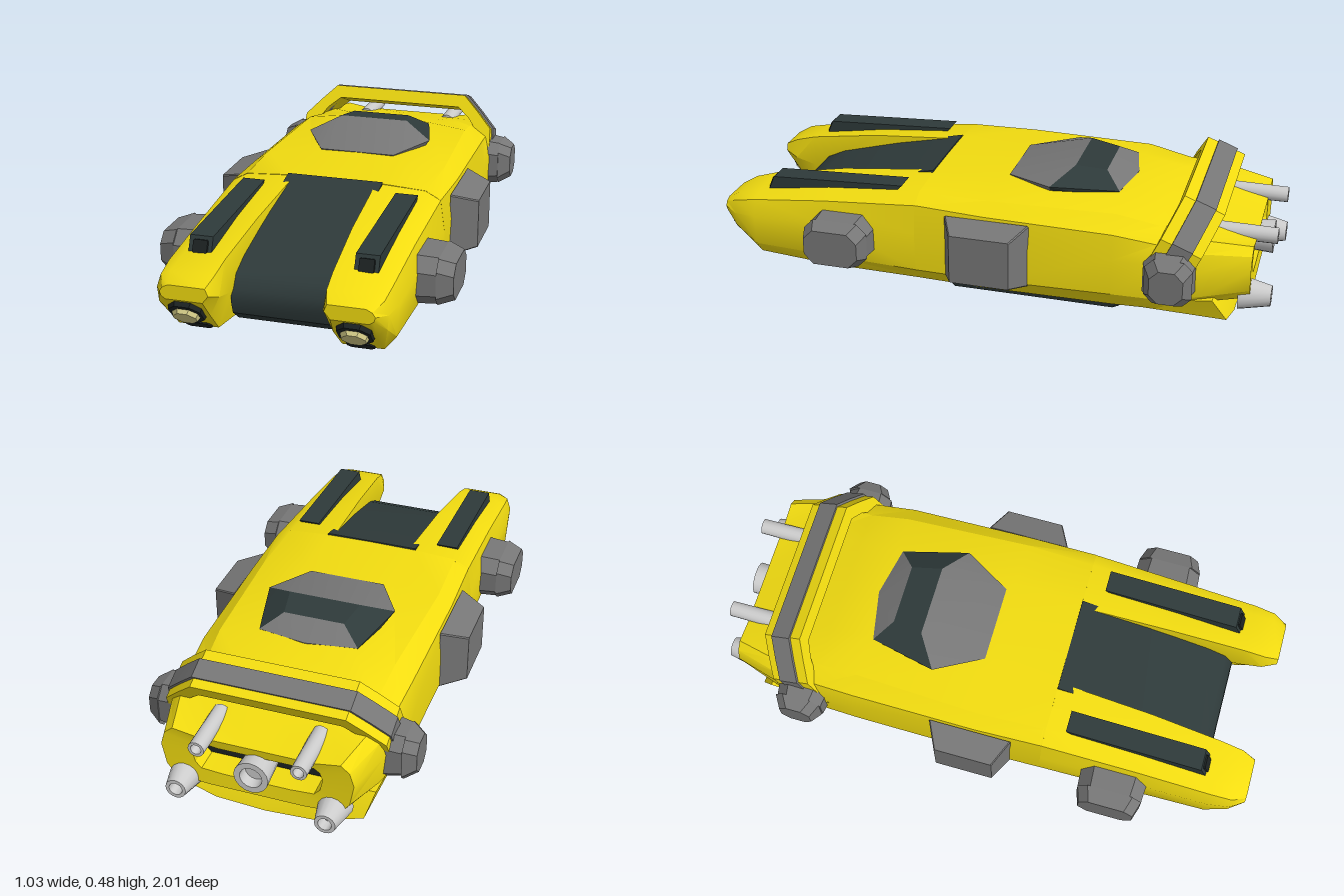
import * as THREE from 'three';
import { toCreasedNormals } from 'three/addons/utils/BufferGeometryUtils.js';
import { ConvexGeometry } from 'three/addons/geometries/ConvexGeometry.js';

const paint = (color) => new THREE.MeshStandardMaterial({ color });
const YELLOW = paint(0xf2dc10), DARK = paint(0x2e3a3a), BLACK = paint(0x1c2222);
const STEEL = paint(0x777777), LIGHT = paint(0xcccccc), LAMP = paint(0xd4cc88);

// Strips extra attributes and turns every face of a closed solid outward.
function outward(source) {
  const g = source.index ? source.toNonIndexed() : source.clone();
  for (const k of Object.keys(g.attributes)) if (k !== 'position') g.deleteAttribute(k);
  const p = g.attributes.position, a = new THREE.Vector3(), b = a.clone(), c = a.clone();
  let volume = 0;
  for (let i = 0; i < p.count; i += 3) {
    a.fromBufferAttribute(p, i);
    b.fromBufferAttribute(p, i + 1);
    c.fromBufferAttribute(p, i + 2);
    volume += a.dot(b.cross(c));
  }
  if (volume < 0) for (let i = 0; i < p.count; i += 3) {
    b.fromBufferAttribute(p, i + 1);
    c.fromBufferAttribute(p, i + 2);
    p.setXYZ(i + 1, c.x, c.y, c.z);
    p.setXYZ(i + 2, b.x, b.y, b.z);
  }
  return g;
}

// Skin through rings of [x, y, z] points, closed at both ends.
function loft(rings) {
  const n = rings[0].length, pos = rings.flat(2), idx = [];
  for (let r = 0; r < rings.length - 1; r++) for (let i = 0; i < n; i++) {
    const a = r * n + i, b = r * n + (i + 1) % n;
    idx.push(a, b, a + n, b, b + n, a + n);
  }
  [0, rings.length - 1].forEach((r, end) => {
    const centre = pos.length / 3;
    for (let k = 0; k < 3; k++) pos.push(rings[r].reduce((s, q) => s + q[k], 0) / n);
    for (let i = 0; i < n; i++) {
      const a = r * n + i, b = r * n + (i + 1) % n;
      idx.push(...(end ? [centre, a, b] : [centre, b, a]));
    }
  });
  const g = new THREE.BufferGeometry();
  g.setAttribute('position', new THREE.Float32BufferAttribute(pos, 3));
  g.setIndex(idx);
  return g;
}

// Full ring from a half outline running top centre to bottom centre.
function ring(z, half) {
  const right = half.map(([x, y, pz]) => [x, y, pz ?? z]);
  return [...right, ...right.slice(1, -1).reverse().map(([x, y, pz]) => [-x, y, pz])];
}

// Chamfered block growing along +z from w0 x h0 to w1 x h1.
function block(w0, h0, w1, h1, depth, cut) {
  const oct = (w, h, z) => [[1, -1], [1, 1], [-1, 1], [-1, -1]].flatMap(([sx, sy], i) => {
    const p = [sx * (w / 2 - cut), sy * h / 2, z], q = [sx * w / 2, sy * (h / 2 - cut), z];
    return i % 2 ? [q, p] : [p, q];
  });
  return loft([oct(w0, h0, 0), oct(w1, h1, depth)]);
}

// Solid whose side outline is given as [z, y] points.
function sideExtrude(points, x0, x1) {
  const shape = new THREE.Shape(points.map(([z, y]) => new THREE.Vector2(-z, y)));
  return new THREE.ExtrudeGeometry(shape, { depth: x1 - x0, bevelEnabled: false })
    .rotateY(Math.PI / 2).translate(x0, 0, 0);
}

// Hollow-ended exhaust pipe pointing to -z.
function pipe(r0, r1, len, x, y, z) {
  const pts = [[0, 0], [r0, 0], [r1, len], [r1 * 0.65, len], [r1 * 0.6, len - 0.04], [0, len - 0.04]];
  return new THREE.LatheGeometry(pts.map(([a, b]) => new THREE.Vector2(a, b)), 16)
    .rotateX(-Math.PI / 2).translate(x, y, z);
}

// Raked roll-bar arch; t0..t1 is the covered part of its depth.
function arch(grow, t0, t1) {
  const outer = [[0.4, 0.22], [0.39, 0.36], [0.33, 0.42], [0.27, 0.475]];
  const inner = [[0.25, 0.43], [0.3, 0.39], [0.345, 0.33], [0.35, 0.22]];
  const half = [...outer.map(([x, y]) => [x + grow, y + grow]), ...inner];
  const mirrorX = (list) => list.map(([x, y]) => [-x, y]).reverse();
  const outline = [...half.slice(0, 4), ...mirrorX(half.slice(0, 4)), ...mirrorX(inner), ...inner];
  const g = new THREE.ExtrudeGeometry(new THREE.Shape(outline.map((p) => new THREE.Vector2(...p))),
    { depth: 1, bevelEnabled: false });
  const p = g.attributes.position;
  for (let i = 0; i < p.count; i++) {
    const y = p.getY(i), t = t0 + (t1 - t0) * p.getZ(i);
    p.setXYZ(i, p.getX(i), y - t * 0.055, -0.56 - (y - 0.22) * 0.48 - t * 0.14);
  }
  return g;
}

export function createModel() {
  const model = new THREE.Group();
  const add = (name, geo, mat, crease = 0.5) => {
    const m = new THREE.Mesh(toCreasedNormals(outward(geo), crease), mat);
    m.name = name;
    model.add(m);
  };
  const pair = (name, geo, mat, crease) => {
    add(name + 'Left', geo, mat, crease);
    add(name + 'Right', geo.clone().scale(-1, 1, 1), mat, crease);
  };

  // Main hull, ending in a recessed engine bay
  const tail = [[0, 0.31], [0.2, 0.31], [0.29, 0.325], [0.32, 0.3], [0.335, 0.25], [0.32, 0.17], [0.29, 0.13], [0.17, 0.12], [0, 0.12]];
  const bay = tail.map(([x, y]) => [x * 0.68, 0.23 + (y - 0.225) * 0.55]);
  add('hull', loft([
    ring(0.25, [[0, 0.412], [0.17, 0.41], [0.33, 0.4], [0.385, 0.37], [0.4, 0.26], [0.395, 0.12], [0.34, 0.06], [0.17, 0.055], [0, 0.055]]),
    ring(0, [[0, 0.418], [0.17, 0.415], [0.34, 0.4], [0.39, 0.36], [0.4, 0.26], [0.4, 0.12], [0.35, 0.06], [0.17, 0.052], [0, 0.052]]),
    ring(-0.46, [[0, 0.425], [0.17, 0.42], [0.32, 0.4], [0.385, 0.35], [0.4, 0.26], [0.4, 0.13], [0.36, 0.07], [0.17, 0.055], [0, 0.055]]),
    ring(-0.61, [[0, 0.39], [0.18, 0.385], [0.31, 0.37], [0.375, 0.33], [0.4, 0.26], [0.395, 0.13], [0.36, 0.075], [0.17, 0.06], [0, 0.06]]),
    ring(-0.77, [[0, 0.35], [0.2, 0.345], [0.33, 0.345], [0.365, 0.31], [0.38, 0.25], [0.37, 0.15], [0.33, 0.11], [0.17, 0.1], [0, 0.1]]),
    ring(-0.93, tail), ring(-0.925, bay), ring(-0.82, bay),
  ]), YELLOW);
  add('engineBayWall', new THREE.BoxGeometry(0.42, 0.1, 0.02).translate(0, 0.23, -0.83), BLACK);

  // Flared lip under the tail
  add('tailLip', loft([
    ring(-0.5, [[0, 0.1], [0.2, 0.1], [0.37, 0.1], [0.36, 0.075], [0.2, 0.058], [0, 0.056]]),
    ring(-0.81, [[0, 0.13], [0.2, 0.13], [0.37, 0.14], [0.345, 0.06, -0.86], [0.18, 0.012, -0.87], [0, 0.001, -0.87]]),
  ]), YELLOW);

  // Twin nose prongs
  const prong = [
    [0.24, [0.15, 0.41], [0.33, 0.4], [0.385, 0.37], [0.4, 0.26], [0.395, 0.12], [0.34, 0.06], [0.18, 0.055], [0.15, 0.25]],
    [0.6, [0.165, 0.378], [0.33, 0.368], [0.378, 0.34], [0.4, 0.26], [0.392, 0.13], [0.35, 0.07], [0.19, 0.066], [0.16, 0.22]],
    [0.87, [0.18, 0.335], [0.33, 0.33], [0.375, 0.31], [0.397, 0.25], [0.39, 0.14], [0.35, 0.09], [0.21, 0.09], [0.168, 0.22]],
    [0.95, [0.185, 0.312], [0.335, 0.312], [0.37, 0.295], [0.385, 0.25], [0.38, 0.2], [0.345, 0.17], [0.205, 0.17], [0.172, 0.24]],
    [1, [0.2, 0.285], [0.325, 0.285], [0.345, 0.275], [0.355, 0.26], [0.35, 0.245], [0.335, 0.235], [0.21, 0.235], [0.19, 0.26]],
  ];
  pair('noseProng', loft(prong.map(([z, ...pts]) => pts.map(([x, y]) => [x, y, z]))), YELLOW, 0.6);

  // Dark panel wrapping over the nose between the prongs
  add('centreNosePanel', sideExtrude([[0.25, 0.416], [0.5, 0.36], [0.74, 0.295], [0.81, 0.262], [0.84, 0.22],
    [0.845, 0.18], [0.83, 0.13], [0.78, 0.09], [0.6, 0.062], [0.22, 0.048]], -0.175, 0.175), DARK, 0.6);

  // Raised intake strips with open fronts
  pair('intakeStrip', sideExtrude([[0.845, 0.315], [0.815, 0.385], [0.32, 0.408], [0.37, 0.36]], 0.24, 0.32), DARK, 0.3);
  pair('intakeMouth', block(0.055, 0.048, 0.05, 0.044, 0.012, 0.004).rotateX(-0.4).translate(0.28, 0.35, 0.824), BLACK, 0.3);

  // Headlights and small lower intakes on the undercut nose
  pair('headlightBezel', block(0.12, 0.125, 0.11, 0.115, 0.03, 0.03).rotateX(0.72).translate(0.28, 0.192, 0.945), BLACK);
  pair('headlight', block(0.092, 0.082, 0.08, 0.07, 0.022, 0.024).rotateX(0.72).translate(0.28, 0.178, 0.963), LAMP);
  pair('lowerIntake', block(0.11, 0.05, 0.09, 0.04, 0.02, 0.012).rotateX(0.8).translate(0.275, 0.11, 0.868), BLACK);

  // Side pods: front, middle, rear
  const pod = (name, w0, h0, w1, h1, cut, x0, x1, y, z) =>
    pair(name, block(w0, h0, w1, h1, x1 - x0, cut).rotateY(Math.PI / 2).translate(x0, y, z), STEEL, 0.4);
  pod('frontPodBase', 0.245, 0.175, 0.235, 0.165, 0.045, 0.37, 0.46, 0.222, 0.525);
  pod('frontPodCap', 0.235, 0.165, 0.2, 0.13, 0.035, 0.46, 0.516, 0.222, 0.525);
  pod('middlePod', 0.305, 0.235, 0.215, 0.18, 0.004, 0.395, 0.49, 0.232, -0.015);
  pod('rearPodBase', 0.185, 0.185, 0.165, 0.165, 0.04, 0.36, 0.435, 0.222, -0.66);
  pod('rearPodCap', 0.165, 0.165, 0.115, 0.12, 0.03, 0.435, 0.48, 0.222, -0.665);

  // Faceted canopy with grey front and rear panes
  const both = (pts) => pts.flatMap(([x, y, z]) => [[x, y, z], [-x, y, z]]);
  const hullOf = (pts) => new ConvexGeometry(both(pts).map((p) => new THREE.Vector3(...p)));
  const ridgeFront = [0.13, 0.48, -0.27], ridgeRear = [0.11, 0.467, -0.38];
  const corner = [0.237, 0.432, -0.2], rear = [0.18, 0.42, -0.44];
  add('canopyRoof', hullOf([ridgeFront, ridgeRear, corner, rear, [0.2, 0.38, -0.2], [0.17, 0.38, -0.44]]), DARK, 0.2);
  add('canopyFront', hullOf([ridgeFront, corner, [0.14, 0.42, -0.03], [0.13, 0.38, -0.05], [0.2, 0.38, -0.2]]), STEEL, 0.3);
  add('canopyRear', hullOf([ridgeRear, rear, [0, 0.425, -0.475], [0.1, 0.38, -0.44]]), STEEL, 0.3);

  // Roll bar with a grey strap
  add('rollBar', arch(0, 0, 1), YELLOW, 0.3);
  add('rollBarStrap', arch(0.006, 0.27, 0.77), STEEL, 0.3);

  // Exhausts
  add('mainExhaust', pipe(0.05, 0.06, 0.15, 0, 0.23, -0.825), LIGHT);
  pair('lowerExhaust', pipe(0.06, 0.036, 0.11, 0.26, 0.13, -0.89), LIGHT);
  pair('upperExhaust', pipe(0.03, 0.028, 0.21, 0.175, 0.32, -0.79), LIGHT);

  // Belly panels
  const belly = (w0, l0, w1, l1, d, cut, x, y, z) =>
    block(w0, l0, w1, l1, d, cut).rotateX(Math.PI / 2).translate(x, y, z);
  add('bellyPanel', belly(0.36, 0.66, 0.34, 0.64, 0.03, 0.05, 0, 0.073, -0.22), DARK, 0.3);
  add('bellyHump', belly(0.32, 0.4, 0.24, 0.22, 0.027, 0.05, 0, 0.046, -0.29), DARK, 0.3);
  pair('bellyStrip', belly(0.12, 0.66, 0.1, 0.62, 0.03, 0.02, 0.29, 0.075, -0.17), DARK, 0.3);

  return model;
}
